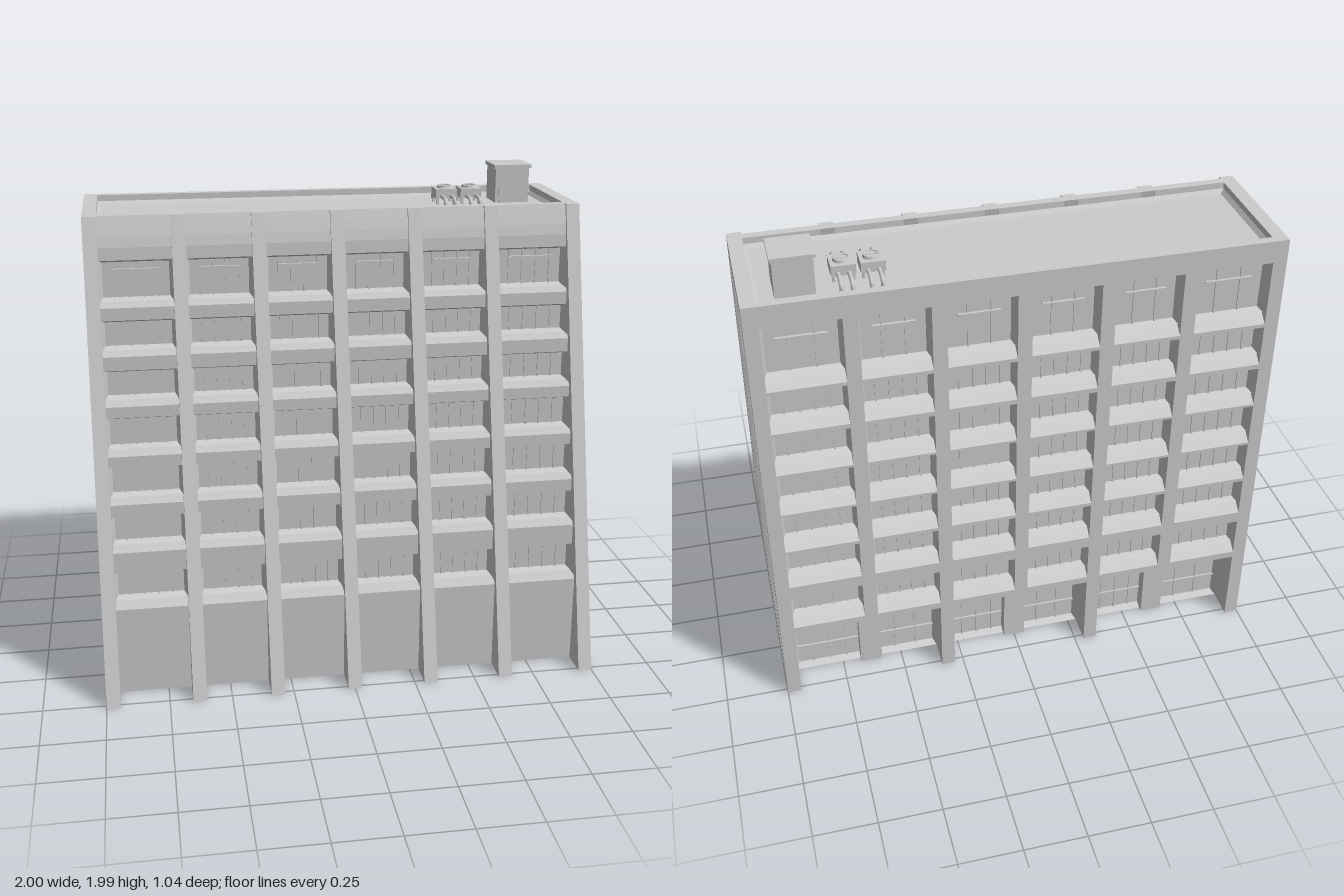
import * as THREE from 'three';

const mat = new THREE.MeshStandardMaterial({ color: 0xcccccc });
const thinMat = new THREE.MeshStandardMaterial({ color: 0xcccccc, side: THREE.DoubleSide });
const H = 1.87;
const DECK = 1.83;
const PIER = 0.055;
const pierX = [-0.9725, -0.63, -0.315, 0, 0.315, 0.63, 0.9725];
// window rows: [sill height, head height]
const rows = [[0.38, 0.5], [0.6, 0.72], [0.785, 0.91], [0.97, 1.1], [1.16, 1.28], [1.35, 1.47], [1.535, 1.7]];
const slope = y => 0.52 - (0.49 * y) / H; // sloping front line

function add(parent, geo, name, x = 0, y = 0, z = 0, material = mat) {
  const m = new THREE.Mesh(geo, material);
  m.name = name;
  m.position.set(x, y, z);
  parent.add(m);
  return m;
}

function addGroup(parent, name) {
  const g = new THREE.Group();
  g.name = name;
  parent.add(g);
  return g;
}

// box given by its limits
function block(parent, name, x0, x1, y0, y1, z0, z1) {
  return add(parent, new THREE.BoxGeometry(x1 - x0, y1 - y0, z1 - z0), name,
    (x0 + x1) / 2, (y0 + y1) / 2, (z0 + z1) / 2);
}

// profile of [z, y] points extruded along x
function prism(parent, name, pts, x0, x1) {
  const shape = new THREE.Shape(pts.map(([z, y]) => new THREE.Vector2(-z, y)));
  const geo = new THREE.ExtrudeGeometry(shape, { depth: x1 - x0, bevelEnabled: false });
  geo.rotateY(Math.PI / 2);
  return add(parent, geo, name, x0);
}

// four splayed faces from a rectangle at zOuter to one inset by t at zInner
function splay(parent, name, x0, x1, y0, y1, zOuter, zInner, t) {
  const ring = (i, z) => [x0 + i, y0 + i, z, x1 - i, y0 + i, z, x1 - i, y1 - i, z, x0 + i, y1 - i, z];
  const geo = new THREE.BufferGeometry();
  geo.setAttribute('position', new THREE.Float32BufferAttribute([...ring(0, zOuter), ...ring(t, zInner)], 3));
  const index = [];
  for (let i = 0; i < 4; i++) {
    const j = (i + 1) % 4, face = [i, j, j + 4, i, j + 4, i + 4];
    index.push(...(zOuter > zInner ? face : face.reverse()));
  }
  geo.setIndex(index);
  const flat = geo.toNonIndexed();
  flat.computeVertexNormals();
  add(parent, flat, name, 0, 0, 0, thinMat);
}

// window with splayed frame; dir is +1 when it faces the front, -1 when it faces the back
function makeWindow(parent, x0, x1, y0, y1, z, dir, panes, transom) {
  const g = addGroup(parent, 'window');
  const depth = dir * 0.01, zMin = Math.min(z, z + depth), zMax = Math.max(z, z + depth);
  block(g, 'glass', x0, x1, y0, y1, z - 0.005, z + 0.005);
  splay(g, 'frame', x0, x1, y0, y1, z + dir * 0.035, z, 0.014);
  for (let i = 1; i < panes; i++) {
    const x = x0 + ((x1 - x0) * i) / panes;
    block(g, 'mullion', x - 0.003, x + 0.003, y0, y1, zMin, zMax);
  }
  if (transom) block(g, 'transom', x0 + 0.05, x1 - 0.05, transom - 0.003, transom + 0.003, zMin - 0.006, zMax + 0.006);
}

// end wall: flat core and an outer skin with slots fanning out to the ground
function makeEndWall(parent, side) {
  const g = addGroup(parent, side > 0 ? 'leftEndWall' : 'rightEndWall');
  const range = (a, b) => (side > 0 ? [a, b] : [-b, -a]);
  prism(g, 'wallCore', [[-0.52, 0], [0.52, 0], [0.03, H], [-0.52, H]], ...range(0.945, 0.987));
  const pts = [[-0.52, H], [-0.52, 0]];
  const n = 13, yTop = 1.815;
  for (let i = 0; i < n; i++) {
    const b = -0.46 + (0.925 * i) / n, t = -0.46 + (0.465 * i) / n;
    pts.push([b, 0], [t, yTop - 0.008], [t + 0.006, yTop], [t + 0.021, yTop], [t + 0.027, yTop - 0.008], [b + 0.054, 0]);
  }
  pts.push([0.52, 0], [0.03, H]);
  prism(g, 'flutedSkin', pts, ...range(0.987, 1));
}

// sloping front bay: stepped spandrels and set-back windows
function makeFrontBay(parent, x0, x1) {
  const g = addGroup(parent, 'frontBay');
  rows.forEach(([y0, y1], k) => {
    const z = slope(y0) - 0.02, bottom = k ? rows[k - 1][1] : 0;
    const next = k < 6 ? slope(rows[k + 1][0]) - 0.02 : 0.05;
    const zg = next - 0.037;
    prism(g, k ? 'spandrel' : 'baseWall', [[z, bottom], [z, y0 - 0.014], [z - 0.012, y0],
      [zg - 0.01, y0], [zg - 0.01, y0 - 0.03], [z - 0.04, y0 - 0.04], [z - 0.04, bottom]], x0, x1);
    makeWindow(g, x0, x1, y0, y1, zg, 1, 5, k === 6 ? 1.658 : 0);
  });
  prism(g, 'frontParapet', [[0.052, 1.7], [0.05, 1.75], [0.041, 1.79], [0.029, 1.83], [0.015, H], [-0.02, H], [-0.02, 1.7]], x0, x1);
}

// upright back bay: flush spandrels with sloping sills and taller openings
function makeBackBay(parent, x0, x1) {
  const g = addGroup(parent, 'backBay');
  let bottom = 0.33;
  rows.forEach(([low, high], k) => {
    const y0 = low + 0.015, y1 = high + (k === 6 ? 0.08 : 0.03);
    prism(g, 'backSpandrel', [[-0.52, bottom], [-0.52, y0 - 0.035], [-0.47, y0 + 0.008], [-0.44, y0 + 0.008], [-0.44, bottom]], x0, x1);
    makeWindow(g, x0, x1, y0, y1, -0.455, -1, k === 6 ? 3 : 5, k === 6 ? 1.7 : 0);
    bottom = y1;
  });
  prism(g, 'backParapet', [[-0.52, bottom], [-0.52, H], [-0.485, H], [-0.485, 1.81], [-0.44, 1.81], [-0.44, bottom]], x0, x1);
}

// ground floor glazing set back behind the piers, under a soffit
function makeGroundFloor(parent) {
  const g = addGroup(parent, 'groundFloor');
  block(g, 'soffit', -0.945, 0.945, 0.33, 0.36, -0.515, -0.35);
  for (let i = 0; i < 6; i++) {
    const x0 = pierX[i] + PIER / 2, x1 = pierX[i + 1] - PIER / 2;
    makeWindow(g, x0, x1, 0, 0.33, -0.365, -1, i % 2 ? 4 : 3, 0);
    block(g, 'transom', x0, x1, 0.236, 0.246, -0.38, -0.365);
    block(g, 'doorRail', x0, x1, 0.1, 0.108, -0.378, -0.365);
  }
  pierX.slice(1, 6).forEach((x, i) => {
    if (i % 2) block(g, 'groundPier', x - PIER / 2, x + PIER / 2, 0, 0.33, -0.52, -0.355);
    else block(g, 'recessedPier', x - 0.045, x + 0.045, 0, 0.33, -0.42, -0.355);
  });
}

// roof deck with a sloped upstand against the parapet
function makeRoof(parent) {
  const g = addGroup(parent, 'roof');
  block(g, 'roofDeck', -0.95, 0.95, DECK - 0.03, DECK, -0.49, -0.01);
  const x = 0.945, z0 = -0.485, z1 = -0.02;
  const ring = i => [[-x + i, z0 + i], [x - i, z0 + i], [x - i, z1 - i], [-x + i, z1 - i]];
  const upper = ring(0), lower = ring(0.015);
  for (let i = 0; i < 4; i++) {
    const j = (i + 1) % 4;
    const corners = [[upper[i], 0.015], [lower[i], 0], [lower[j], 0], [upper[j], 0.015]]
      .map(([[px, pz], dy]) => [px, DECK + dy, pz]);
    const geo = new THREE.BufferGeometry();
    geo.setAttribute('position', new THREE.Float32BufferAttribute(corners.flat(), 3));
    geo.setIndex([0, 1, 2, 0, 2, 3]);
    geo.computeVertexNormals();
    add(g, geo, 'upstand', 0, 0, 0, thinMat);
  }
}

function makeRoofHut(parent) {
  const g = addGroup(parent, 'roofHut');
  block(g, 'hutWalls', 0.73, 0.875, DECK, 1.975, -0.415, -0.275);
  block(g, 'hutCap', 0.722, 0.882, 1.975, 1.99, -0.421, -0.267);
  block(g, 'hutDoor', 0.745, 0.79, DECK, 1.92, -0.28, -0.27);
}

// cooling unit on legs with a round fan and bent pipes on both sides
function makeCoolingUnit(parent, x) {
  const g = addGroup(parent, 'coolingUnit');
  g.position.set(x, DECK, -0.31);
  block(g, 'unitBody', -0.045, 0.045, 0.025, 0.065, -0.045, 0.045);
  for (const sx of [-1, 1]) for (const sz of [-1, 1]) {
    add(g, new THREE.BoxGeometry(0.01, 0.025, 0.01), 'unitLeg', sx * 0.036, 0.0125, sz * 0.036);
    const path = new THREE.CatmullRomCurve3([[0.035, 0.04], [0.035, 0.08], [0.034, 0.1], [0.025, 0.118], [0, 0.122]]
      .map(([y, z]) => new THREE.Vector3(sx * 0.02, y, sz * z)));
    add(g, new THREE.TubeGeometry(path, 14, 0.008, 8), 'pipe');
  }
  add(g, new THREE.CylinderGeometry(0.03, 0.033, 0.008, 20), 'fanHousing', 0, 0.068, 0);
  const ring = add(g, new THREE.TorusGeometry(0.027, 0.004, 6, 20), 'fanRing', 0, 0.073, 0);
  ring.rotation.x = Math.PI / 2;
  block(g, 'fanGuard', -0.027, 0.027, 0.071, 0.075, -0.002, 0.002);
  block(g, 'fanGuard', -0.002, 0.002, 0.071, 0.075, -0.027, 0.027);
}

export function createModel() {
  const model = new THREE.Group();
  model.name = 'officeBuilding';
  makeEndWall(model, 1);
  makeEndWall(model, -1);

  // sloping fins in front, upright pilasters behind
  for (const x of pierX.slice(1, 6)) {
    const span = [x - PIER / 2, x + PIER / 2];
    prism(model, 'frontFin', [[0.52, 0], [0.03, H], [-0.02, H], [0.36, 0]], ...span);
    prism(model, 'backPilaster', [[-0.52, 0.33], [-0.52, H], [-0.485, H], [-0.485, 1.81], [-0.44, 1.81], [-0.44, 0.33]], ...span);
  }
  for (let i = 0; i < 6; i++) {
    const span = [pierX[i] + PIER / 2, pierX[i + 1] - PIER / 2];
    makeFrontBay(model, ...span);
    makeBackBay(model, ...span);
  }
  makeGroundFloor(model);
  makeRoof(model);
  makeRoofHut(model);
  makeCoolingUnit(model, 0.515);
  makeCoolingUnit(model, 0.622);
  return model;
}
